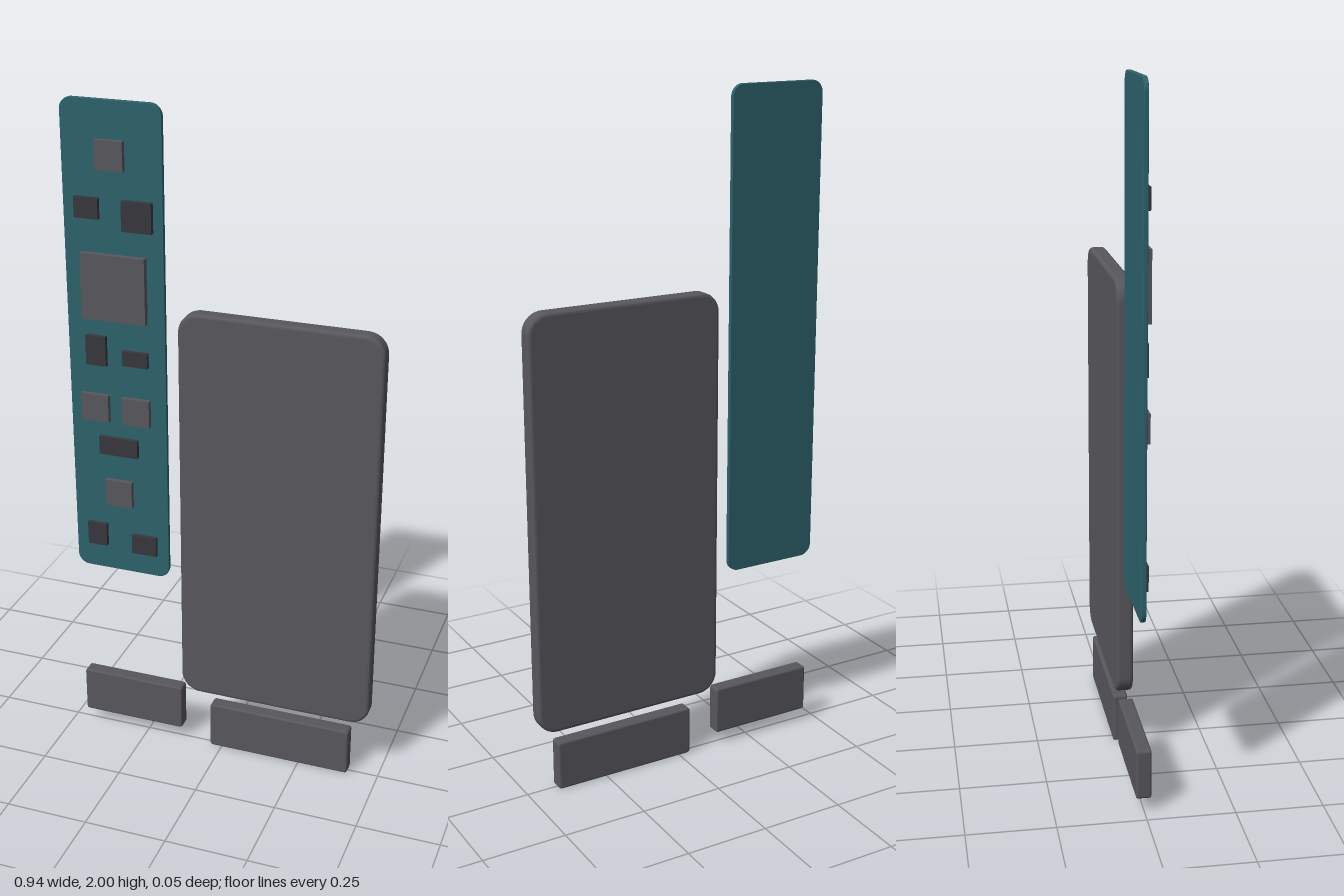
import * as THREE from 'three';

const mat = (name, color) => {
  const m = new THREE.MeshStandardMaterial({ color });
  m.name = name;
  return m;
};

// Rounded rectangular slab with softened edges, spanning the given limits
function slab(name, material, [x0, x1], [y0, y1], [z0, z1], radius, bevel) {
  const w = (x1 - x0) / 2 - bevel, h = (y1 - y0) / 2 - bevel;
  const r = Math.max(radius - bevel, 0.001);
  const s = new THREE.Shape();
  s.moveTo(w, -h + r);
  s.absarc(w - r, h - r, r, 0, Math.PI / 2);
  s.absarc(-w + r, h - r, r, Math.PI / 2, Math.PI);
  s.absarc(-w + r, -h + r, r, Math.PI, Math.PI * 1.5);
  s.absarc(w - r, -h + r, r, Math.PI * 1.5, Math.PI * 2);
  const geo = new THREE.ExtrudeGeometry(s, {
    depth: z1 - z0 - 2 * bevel,
    bevelEnabled: bevel > 0,
    bevelSize: bevel,
    bevelThickness: bevel,
    bevelSegments: 3,
    curveSegments: 8,
  });
  const mesh = new THREE.Mesh(geo, material);
  mesh.name = name;
  mesh.position.set((x0 + x1) / 2, (y0 + y1) / 2, z0 + bevel);
  return mesh;
}

export function createModel() {
  const model = new THREE.Group();
  model.name = 'deviceInternals';
  const grey = mat('casing grey', 0x58575c);
  const dark = mat('component black', 0x38373c);
  const teal = mat('board teal', 0x2d626c);

  // Large battery and the two modules below it
  model.add(
    slab('battery', grey, [-0.129, 0.467], [0.19, 1.432], [-0.026, 0.023], 0.06, 0.01),
    slab('leftModule', grey, [-0.037, 0.407], [0, 0.151], [-0.023, 0.02], 0.009, 0.006),
    slab('rightModule', grey, [-0.458, -0.131], [0.04, 0.188], [-0.023, 0.02], 0.009, 0.006)
  );

  // Circuit board
  const board = new THREE.Group();
  board.name = 'circuitBoard';
  board.add(slab('boardPlate', teal, [-0.472, -0.174], [0.565, 2], [-0.013, 0], 0.035, 0.002));

  // Chips: centre x, centre y, width, height, front z, material
  const chips = [
    [-0.325, 1.852, 0.083, 0.083, 0.016, grey],
    [-0.399, 1.7, 0.072, 0.06, 0.013, dark],
    [-0.248, 1.687, 0.089, 0.087, 0.015, dark],
    [-0.323, 1.474, 0.194, 0.194, 0.019, grey],
    [-0.384, 1.28, 0.062, 0.09, 0.013, dark],
    [-0.264, 1.267, 0.077, 0.045, 0.013, dark],
    [-0.392, 1.102, 0.085, 0.083, 0.015, grey],
    [-0.265, 1.102, 0.085, 0.083, 0.015, grey],
    [-0.323, 0.983, 0.12, 0.056, 0.013, dark],
    [-0.325, 0.831, 0.083, 0.083, 0.015, grey],
    [-0.4, 0.683, 0.061, 0.073, 0.013, dark],
    [-0.249, 0.668, 0.078, 0.061, 0.013, dark],
  ];
  chips.forEach(([x, y, w, h, front, material], i) => {
    const depth = front + 0.002;
    const chip = new THREE.Mesh(new THREE.BoxGeometry(w, h, depth), material);
    chip.name = `chip${i + 1}`;
    chip.position.set(x, y, front - depth / 2);
    board.add(chip);
  });
  model.add(board);
  return model;
}
